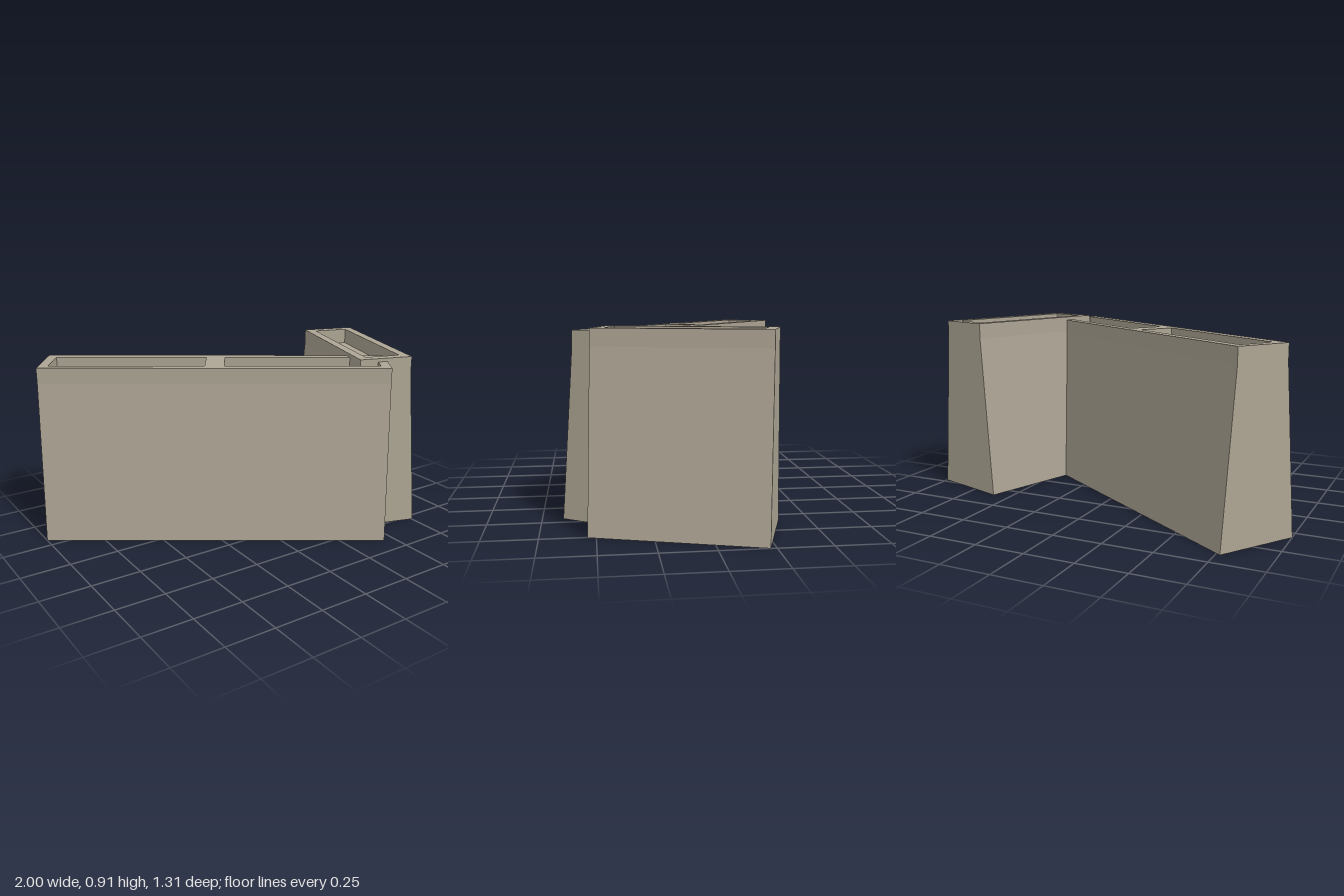
import * as THREE from 'three';

const RIM = 0.08; // height of the upright rim, and depth of the recess

// One battered block: a tapered body with an upright rim around a sunken top.
function makeBlock(name, length, height, baseDepth, topDepth, material) {
  const block = new THREE.Group();
  block.name = name;
  const b = baseDepth / 2, t = topDepth / 2, floor = height - RIM;

  // tapered body, its top is the recess floor
  const profile = new THREE.Shape([
    new THREE.Vector2(-b, 0), new THREE.Vector2(b, 0),
    new THREE.Vector2(t, floor), new THREE.Vector2(-t, floor),
  ]);
  const bodyGeo = new THREE.ExtrudeGeometry(profile, { depth: length, bevelEnabled: false });
  bodyGeo.translate(0, 0, -length / 2).rotateY(Math.PI / 2);
  const body = new THREE.Mesh(bodyGeo, material);
  body.name = 'body';

  // rectangular rim with an open middle
  const rect = (hx, hy) => [[-hx, -hy], [hx, -hy], [hx, hy], [-hx, hy]]
    .map(([x, y]) => new THREE.Vector2(x, y));
  const outline = new THREE.Shape(rect(length / 2, t));
  outline.holes.push(new THREE.Path(rect(length / 2 - 0.048, t - 0.048).reverse()));
  const rimGeo = new THREE.ExtrudeGeometry(outline, { depth: RIM, bevelEnabled: false });
  rimGeo.rotateX(-Math.PI / 2).translate(0, floor, 0);
  const rim = new THREE.Mesh(rimGeo, material);
  rim.name = 'rim';

  block.add(body, rim);
  return block;
}

export function createModel() {
  const model = new THREE.Group();
  model.name = 'cornerWall';
  const stone = new THREE.MeshStandardMaterial({ color: 0xada594 });
  stone.name = 'warm grey stone';

  // long wall: two equal blocks end to end
  const longWall = new THREE.Group();
  longWall.name = 'longWall';
  const len = 0.866;
  for (const side of [-1, 1]) {
    const block = makeBlock(side < 0 ? 'rightBlock' : 'leftBlock', len, 0.893, 0.415, 0.281, stone);
    block.position.x = side * len / 2;
    longWall.add(block);
  }
  longWall.position.set(-0.165, 0, -0.002);
  longWall.rotation.y = -0.588;

  // short wall: one slightly taller block overlapping the end of the long wall
  const shortWall = makeBlock('shortWall', 0.8, 0.91, 0.424, 0.281, stone);
  shortWall.position.set(0.675, 0, 0.093);
  shortWall.rotation.y = 1.259;

  model.add(longWall, shortWall);
  return model;
}
